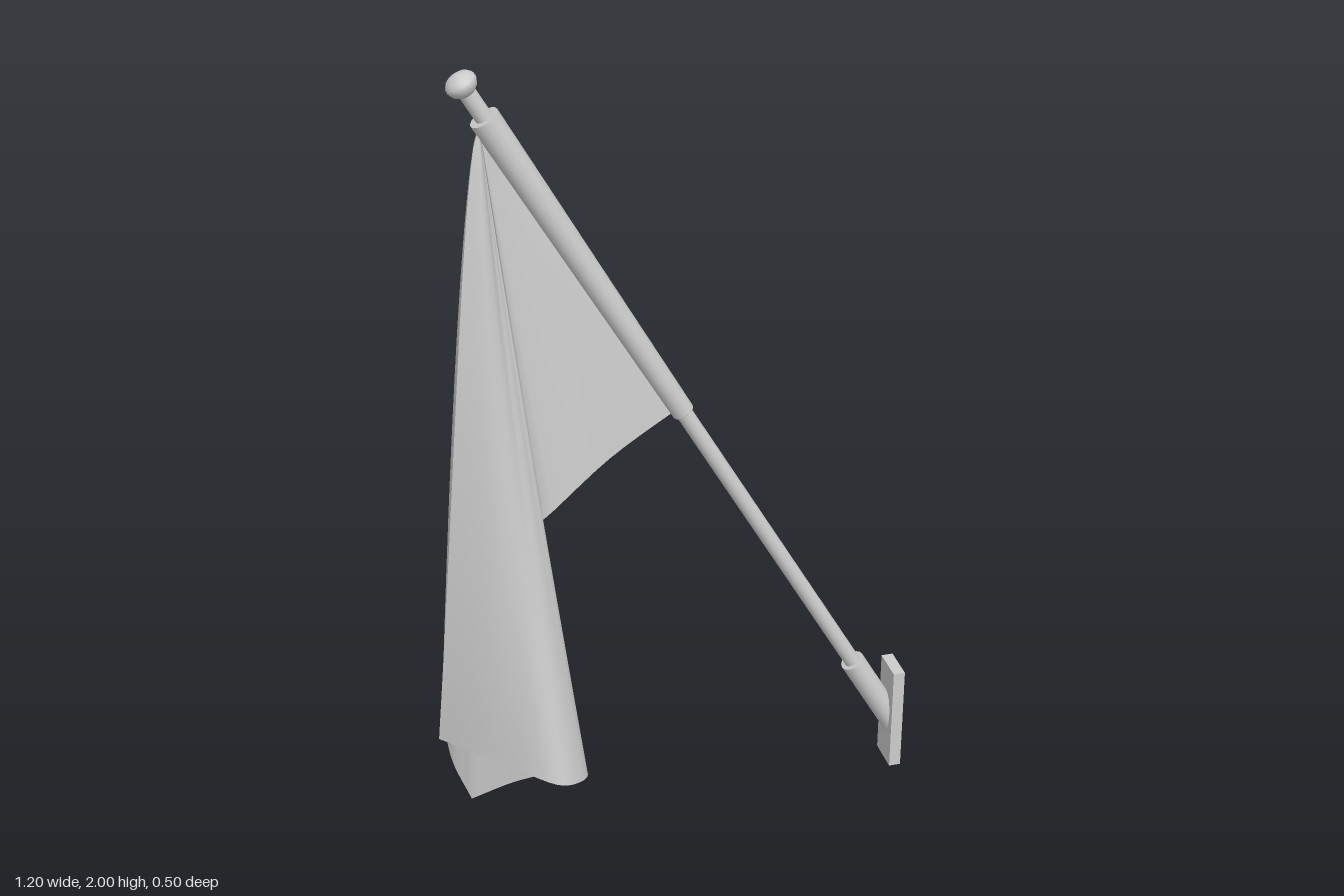
import * as THREE from 'three';

const grey = new THREE.MeshStandardMaterial({ color: 0xcccccc });
const clothMat = new THREE.MeshStandardMaterial({ color: 0xcccccc, side: THREE.DoubleSide });

// The pole leans 60 degrees in the plane z = POLE_Z; points are found by height
const POLE_Z = 0.036;
const SLOPE = 0.573;
const onPole = (y) => new THREE.Vector3(-0.48 + (1.975 - y) * SLOPE, y, POLE_Z);
const AXIS = new THREE.Vector3(-SLOPE, 1, 0).normalize();

// Lathe a profile [radius, distance along pole] around the pole, from height y
function turned(name, y, profile, sides = 16) {
  const pts = profile.map(([r, d]) => new THREE.Vector2(r, d));
  const geo = new THREE.LatheGeometry(pts, sides);
  geo.applyQuaternion(new THREE.Quaternion().setFromUnitVectors(new THREE.Vector3(0, 1, 0), AXIS));
  const p = onPole(y);
  geo.translate(p.x, p.y, p.z);
  const mesh = new THREE.Mesh(geo, grey);
  mesh.name = name;
  return mesh;
}

function rod(name, y0, y1, r0, r1 = r0) {
  const len = onPole(y0).distanceTo(onPole(y1));
  // doubled corners keep the end caps crisp
  return turned(name, y0, [[0, 0], [r0, 0], [r0, 0.0005], [r1, len - 0.0005], [r1, len], [0, len]]);
}

// Edge points are [x, y, z, spread, belly]: spread below 1 makes the cloth billow
// out early, belly pushes the middle of the drape forward
function sampleEdge(points, steps) {
  const curve = new THREE.CatmullRomCurve3(points.map((p) => new THREE.Vector3(p[0], p[1], p[2])));
  return Array.from({ length: steps + 1 }, (_, i) => {
    const k = (i / steps) * (points.length - 1);
    const a = Math.min(Math.floor(k), points.length - 2);
    const mix = (n) => THREE.MathUtils.lerp(points[a][n], points[a + 1][n], k - a);
    return { p: curve.getPoint(i / steps), spread: mix(3), belly: mix(4) };
  });
}

// Cloth leaves the back of the sleeve, hangs from the pole top and fans out
function makeCloth() {
  const top = new THREE.Vector3(-0.44, 1.87, POLE_Z);
  const sleeveBack = new THREE.Vector3(-0.415, 1.88, 0.001);
  const bottomEdge = [
    [0.025, 1.1, 0.009, 1, 0], [-0.16, 1.005, 0.045, 1, 0], [-0.33, 0.89, 0.085, 1, 0],
    [-0.34, 0.83, 0, 0.9, 0], [-0.32, 0.75, -0.12, 0.8, 0], [-0.36, 0.66, -0.22, 0.74, 0],
    [-0.45, 0.55, -0.25, 0.72, 0], [-0.52, 0.4, -0.23, 0.7, 0], [-0.55, 0.26, -0.17, 0.72, 0],
    [-0.55, 0.12, -0.1, 0.75, 0], [-0.51, 0.015, -0.05, 0.8, 0],
  ];
  const flyEdge = [
    [-0.51, 0.015, -0.05, 0.8, 0], [-0.4, 0.1, 0.02, 0.9, 0], [-0.29, 0.165, 0.1, 1, 0],
    [-0.257, 0.195, 0.16, 1.05, -0.01], [-0.28, 0.215, 0.215, 1.05, -0.025],
    [-0.345, 0.24, 0.252, 1, -0.03], [-0.46, 0.265, 0.17, 0.82, 0.015], [-0.6, 0.28, 0.04, 0.68, 0.045],
  ];
  const edge = [...sampleEdge(bottomEdge, 50), ...sampleEdge(flyEdge, 40).slice(1)];
  const rows = 30;
  const pos = [];
  const idx = [];
  edge.forEach(({ p, spread, belly }, i) => {
    const start = sleeveBack.clone().lerp(top, Math.min(i / 8, 1));
    for (let j = 0; j <= rows; j++) {
      const t = j / rows;
      const s = Math.pow(t, spread);
      pos.push(
        start.x + (p.x - start.x) * s,
        start.y + (p.y - start.y) * t,
        start.z + (p.z - start.z) * s + belly * 4 * t * (1 - t),
      );
      if (i && j) {
        const b = i * (rows + 1) + j;
        const a = b - rows - 1;
        idx.push(a - 1, a, b, a - 1, b, b - 1);
      }
    }
  });
  const geo = new THREE.BufferGeometry();
  geo.setAttribute('position', new THREE.Float32BufferAttribute(pos, 3));
  geo.setIndex(idx);
  geo.computeVertexNormals();
  const mesh = new THREE.Mesh(geo, clothMat);
  mesh.name = 'cloth';
  return mesh;
}

export function createModel() {
  const model = new THREE.Group();
  model.name = 'wallFlag';

  // Wall plate
  const plate = new THREE.Mesh(new THREE.BoxGeometry(0.03, 0.285, 0.092), grey);
  plate.name = 'wallPlate';
  plate.position.set(0.583, 0.1425, 0.038);
  model.add(plate);

  // Socket, its lower end mitred to the plate by sliding corners along the axis
  const socket = rod('socket', 0.02, 0.315, 0.031);
  const sp = socket.geometry.attributes.position;
  for (let i = 0; i < sp.count; i++) {
    const over = sp.getX(i) - 0.575;
    if (over > 0) sp.setXY(i, 0.575, sp.getY(i) + over / SLOPE);
  }
  model.add(socket);

  // Pole and the cloth sleeve around it, slimmer at its lower end
  model.add(rod('pole', 0.25, 1.95, 0.02));
  model.add(rod('sleeve', 1.1, 1.885, 0.027, 0.035));

  // Flattened knob on the pole top
  model.add(turned('finial', 1.945, [
    [0, 0], [0.02, 0], [0.031, 0.009], [0.037, 0.022], [0.036, 0.032],
    [0.028, 0.042], [0.015, 0.048], [0, 0.05],
  ]));

  model.add(makeCloth());
  return model;
}
